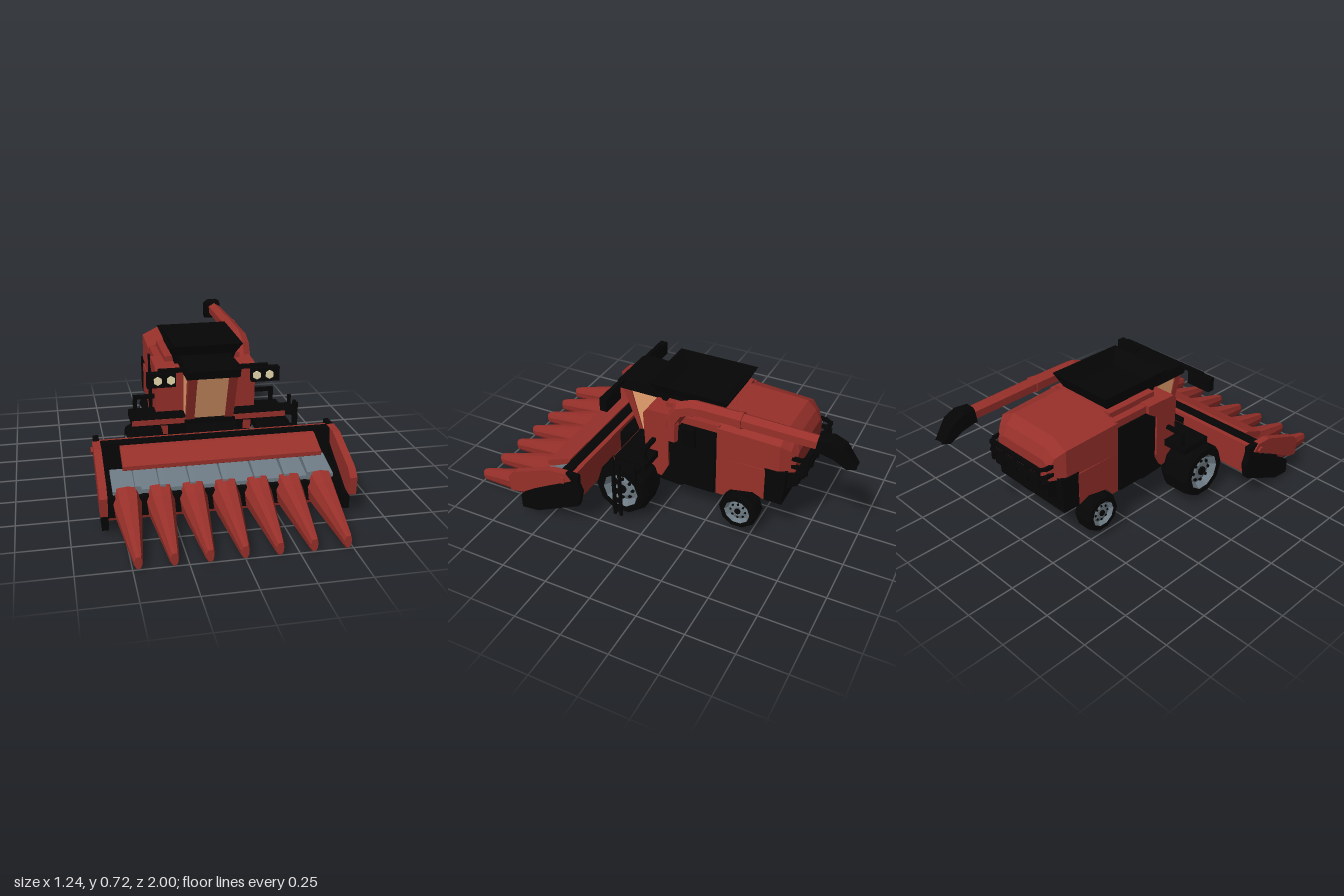
import * as THREE from 'three';

const mat = (color) => new THREE.MeshStandardMaterial({ color, flatShading: true, side: THREE.DoubleSide });

export function createModel() {
  const root = new THREE.Group();
  const red = mat(0x98302a), black = mat(0x050505), grey = mat(0x6d7a83), glass = mat(0xe6a06e), lamp = mat(0xe8dcae);

  const add = (name, geo, m, parent = root) => {
    const mesh = new THREE.Mesh(geo, m);
    mesh.name = name;
    parent.add(mesh);
    return mesh;
  };
  // box given by two opposite corners
  const box = (name, m, [x0, y0, z0], [x1, y1, z1]) => {
    const g = new THREE.BoxGeometry(Math.abs(x1 - x0), y1 - y0, z1 - z0);
    g.translate((x0 + x1) / 2, (y0 + y1) / 2, (z0 + z1) / 2);
    return add(name, g, m);
  };
  // side profile of [z, y] points, extruded across x
  const prism = (name, m, xa, xb, pts) => {
    const shape = new THREE.Shape(pts.map(([z, y]) => new THREE.Vector2(z, y)));
    const g = new THREE.ExtrudeGeometry(shape, { depth: Math.abs(xb - xa), bevelEnabled: false });
    g.rotateY(-Math.PI / 2).translate(Math.max(xa, xb), 0, 0);
    return add(name, g, m);
  };
  // skin over equal-length convex rings, capped at both ends
  const loft = (name, m, rings) => {
    const n = rings[0].length, idx = [], last = (rings.length - 1) * n;
    for (let i = 0; i < rings.length - 1; i++)
      for (let j = 0; j < n; j++) {
        const a = i * n + j, b = i * n + (j + 1) % n;
        idx.push(a, b, b + n, a, b + n, a + n);
      }
    for (let j = 1; j < n - 1; j++) idx.push(0, j + 1, j, last, last + j, last + j + 1);
    const g = new THREE.BufferGeometry();
    g.setAttribute('position', new THREE.Float32BufferAttribute(rings.flat(2), 3));
    g.setIndex(idx);
    const flat = g.toNonIndexed();
    flat.computeVertexNormals();
    return add(name, flat, m);
  };
  // straight bar between two points
  const bar = (name, m, a, b, r = 0.008, sides = 6) => {
    const A = new THREE.Vector3(...a), B = new THREE.Vector3(...b), d = B.clone().sub(A);
    const mesh = add(name, new THREE.CylinderGeometry(r, r, d.length(), sides), m);
    mesh.position.copy(A).add(B).multiplyScalar(0.5);
    mesh.quaternion.setFromUnitVectors(new THREE.Vector3(0, 1, 0), d.normalize());
    return mesh;
  };
  const wheel = (name, s, x, y, z, r, w) => {
    const g = new THREE.Group();
    g.name = name;
    const lathe = (pts) => new THREE.LatheGeometry(pts.map(([a, b]) => new THREE.Vector2(a * r, b * w)), 10);
    add('tire', lathe([[0.66, -0.5], [0.9, -0.5], [1, -0.33], [1, 0.33], [0.9, 0.5], [0.66, 0.5]]), black, g);
    add('rim', lathe([[0, -0.25], [0.5, -0.25], [0.68, -0.5], [0.68, 0.5], [0.52, 0.3], [0.3, 0.38], [0, 0.38]]), grey, g);
    add('hub', new THREE.CylinderGeometry(r * 0.16, r * 0.16, w * 0.9, 8), black, g);
    for (let i = 0; i < 8; i++) {
      const a = i * Math.PI / 4;
      add('wheelBolt', new THREE.CylinderGeometry(r * 0.06, r * 0.06, w * 0.8, 5), black, g)
        .position.set(Math.cos(a) * r * 0.38, 0, Math.sin(a) * r * 0.38);
    }
    g.rotation.z = -s * Math.PI / 2;
    g.position.set(s * x, y, z);
    root.add(g);
  };

  // header: tray, rear wall, hood plate and picking deck
  prism('headerRearWall', red, -0.6, 0.6, [[0.32, 0.335], [0.345, 0.335], [0.345, 0.18], [0.52, 0.085], [0.6, 0.05], [0.595, 0.035], [0.51, 0.065], [0.32, 0.16]]);
  prism('headerTray', black, -0.575, 0.575, [[0.346, 0.34], [0.4, 0.34], [0.42, 0.2], [0.6, 0.15], [0.6, 0.05], [0.52, 0.085], [0.346, 0.18]]);
  prism('headerHood', red, -0.485, 0.485, [[0.41, 0.335], [0.435, 0.332], [0.55, 0.285], [0.55, 0.265], [0.53, 0.255], [0.41, 0.31]]);
  prism('pickingDeck', grey, -0.54, 0.54, [[0.41, 0.217], [0.58, 0.175], [0.58, 0.155], [0.41, 0.195]]);
  for (const x of [-0.42, -0.303, -0.157, 0, 0.157, 0.303, 0.42]) {
    prism('deckRib', grey, x - 0.014, x + 0.014, [[0.42, 0.24], [0.46, 0.24], [0.585, 0.195], [0.585, 0.14], [0.42, 0.19]]);
    bar('rearWallBolt', grey, [x, 0.13, 0.4], [x, 0.107, 0.388], 0.012);
  }
  // dark stalk slots underneath, between the snouts
  for (let i = -3; i < 3; i++) {
    const x = (i + 0.5) * 0.158;
    prism('stalkSlot', black, x - 0.05, x + 0.05, [[0.51, 0.085], [0.59, 0.05], [0.585, 0.034], [0.505, 0.062]]);
  }
  for (const s of [-1, 1]) {
    prism('headerSidePlate', black, s * 0.57, s * 0.602, [[0.66, 0.1], [0.31, 0.32], [0.28, 0.24], [0.3, 0.155], [0.56, 0.03], [0.66, 0.02]]);
    prism('headerEndShield', red, s * 0.575, s * 0.612,
      [[0.72, 0.21], [0.68, 0.25], [0.45, 0.34], [0.36, 0.345], [0.33, 0.31], [0.48, 0.23], [0.66, 0.13], [0.715, 0.12]]);
    bar('shieldPin', red, [s * 0.6, 0.305, 0.375], [s * 0.622, 0.305, 0.375], 0.018);
    box('shieldCap', black, [s * 0.578, 0.3, 0.29], [s * 0.605, 0.348, 0.36]);
  }
  // crop divider snouts, wedge shaped with a straight taper
  const snoutRing = (x, z, w, lo, hi) => [[1, 0.64], [0.66, 0.97], [0, 1], [-0.66, 0.97], [-1, 0.64], [-0.88, 0.25], [-0.45, 0], [0.45, 0], [0.88, 0.25]]
    .map(([u, v]) => [x + u * w, lo + v * (hi - lo), z]);
  for (let i = -3; i <= 3; i++) {
    const x = i * 0.158;
    loft('snout', red, [snoutRing(x, 0.57, 0.07, 0.018, 0.192), snoutRing(x, 0.64, 0.063, 0.012, 0.165),
      snoutRing(x, 0.985, 0.022, 0.002, 0.07), snoutRing(x, 1, 0.017, 0.006, 0.064)]);
  }

  // feeder house and chassis
  prism('feederHouse', black, -0.13, 0.13, [[0.34, 0.31], [0.1, 0.37], [-0.05, 0.37], [-0.05, 0.2], [0.1, 0.17], [0.34, 0.12]]);
  prism('chassis', black, -0.2, 0.2, [[0.1, 0.36], [0.1, 0.15], [-0.08, 0.14], [-0.1, 0.155], [-0.25, 0.155], [-0.26, 0.2], [-0.4, 0.21], [-0.56, 0.25], [-0.56, 0.4]]);
  bar('frontAxle', black, [-0.32, 0.18, 0.155], [0.32, 0.18, 0.155], 0.04, 8);
  bar('rearAxle', grey, [-0.22, 0.145, -0.435], [0.22, 0.145, -0.435], 0.028, 8);
  box('rearAxleBracket', black, [-0.05, 0.16, -0.47], [0.05, 0.26, -0.4]);

  // body
  box('engineBay', black, [-0.238, 0.2, -0.31], [0.238, 0.58, 0.02]);
  box('bodyTop', red, [-0.24, 0.57, -0.31], [0.24, 0.61, 0.02]);
  box('tankBase', red, [-0.2, 0.6, -0.31], [0.2, 0.64, 0.0]);
  const hoodRing = (z, w, lo, side, top, tw) => [[w, lo], [w, side], [tw, top], [-tw, top], [-w, side], [-w, lo]].map(([x, y]) => [x, y, z]);
  loft('rearHood', red, [hoodRing(-0.695, 0.19, 0.43, 0.5, 0.53, 0.15), hoodRing(-0.67, 0.205, 0.43, 0.55, 0.585, 0.145),
    hoodRing(-0.625, 0.235, 0.43, 0.585, 0.63, 0.145), hoodRing(-0.3, 0.245, 0.43, 0.6, 0.64, 0.15)]);
  prism('lowerBody', red, -0.244, 0.244, [[-0.3, 0.43], [-0.3, 0.2], [-0.34, 0.2], [-0.38, 0.25], [-0.5, 0.275], [-0.56, 0.25], [-0.56, 0.43]]);
  prism('strawChopper', black, -0.243, 0.243, [[-0.555, 0.44], [-0.555, 0.25], [-0.655, 0.25], [-0.66, 0.33], [-0.665, 0.44]]);
  prism('chopperHood', black, -0.2, 0.2, [[-0.65, 0.43], [-0.65, 0.3], [-0.665, 0.33], [-0.715, 0.36], [-0.715, 0.43]]);
  for (const s of [-1, 1]) {
    prism('frontShoulder', red, s * 0.1, s * 0.262,
      [[0.1, 0.585], [0.085, 0.24], [0.0, 0.22], [-0.04, 0.3], [-0.04, 0.53], [-0.1, 0.57], [-0.1, 0.615], [0.08, 0.61]]);
    prism('sideCover', black, s * 0.23, s * 0.25, [[-0.04, 0.53], [-0.12, 0.57], [-0.29, 0.57], [-0.29, 0.2], [-0.04, 0.2]]);
    wheel('frontWheel', s, 0.335, 0.18, 0.155, 0.152, 0.18);
    wheel('rearWheel', s, 0.225, 0.145, -0.435, 0.105, 0.105);
  }
  // flared screen beside the auger elbow
  loft('sideScreen', black, [-0.19, -0.12].map((z) => [[0.23, 0.45, z], [0.262, 0.45, z], [0.285, 0.57, z], [0.23, 0.57, z]]));

  // rear platform with wrapped railing
  box('rearPlatform', black, [-0.195, 0.405, -0.74], [0.195, 0.43, -0.66]);
  for (const y of [0.455, 0.5]) {
    box('rearRail', black, [-0.18, y, -0.755], [0.18, y + 0.02, -0.735]);
    for (const s of [-1, 1]) {
      bar('railCorner', black, [s * 0.175, y + 0.01, -0.745], [s * 0.195, y + 0.01, -0.715], 0.011, 4);
      box('rearSideRail', black, [s * 0.187, y, -0.72], [s * 0.202, y + 0.02, -0.63]);
    }
  }
  for (let i = -2; i <= 2; i++) box('rearRailPost', black, [i * 0.085 - 0.008, 0.41, -0.75], [i * 0.085 + 0.008, 0.52, -0.735]);

  // grain tank, a hollow flared bin
  const tankRing = (y, w, front, back) => [[w, y, front], [w, y, back], [-w, y, back], [-w, y, front]];
  loft('grainTank', black, [tankRing(0.6, 0.15, 0.04, -0.27), tankRing(0.66, 0.165, 0.06, -0.3), tankRing(0.72, 0.192, 0.11, -0.33),
    tankRing(0.72, 0.18, 0.098, -0.318), tankRing(0.655, 0.13, 0.03, -0.26)]);

  // cab
  prism('cabGlass', glass, -0.118, 0.118, [[0.285, 0.605], [0.195, 0.365], [0.07, 0.365], [0.07, 0.605]]);
  for (const s of [-1, 1]) {
    prism('cabFrontPillar', red, s * 0.08, s * 0.124, [[0.295, 0.61], [0.2, 0.36], [0.18, 0.36], [0.245, 0.61]]);
    box('cabRearPillar', red, [s * 0.1, 0.36, 0.05], [s * 0.126, 0.61, 0.095]);
  }
  prism('cabSill', black, -0.13, 0.13, [[0.215, 0.36], [0.215, 0.34], [0.05, 0.32], [0.05, 0.36]]);
  prism('cabRoof', black, -0.135, 0.135, [[0.315, 0.65], [0.3, 0.605], [0.0, 0.605], [0.0, 0.655], [0.28, 0.665]]);

  for (const s of [-1, 1]) {
    // work lights on side arms
    box('lightArm', black, [s * 0.12, 0.646, 0.272], [s * 0.275, 0.665, 0.295]);
    box('lightHousing', black, [s * 0.19, 0.578, 0.268], [s * 0.332, 0.65, 0.308]);
    for (const x of [0.215, 0.28]) bar('workLight', lamp, [s * x, 0.614, 0.3], [s * x, 0.614, 0.316], 0.022, 6);
    // side decks and handrails
    box('sideDeck', black, [s * 0.12, 0.335, 0.02], [s * 0.4, 0.371, 0.197]);
    box('deckEdge', red, [s * 0.12, 0.342, 0.19], [s * 0.4, 0.37, 0.2]);
    box('handrail', black, [s * 0.155, 0.43, 0.03], [s * 0.376, 0.45, 0.05]);
    bar('handrailEnd', black, [s * 0.115, 0.4, 0.05], [s * 0.165, 0.44, 0.04], 0.012, 4);
    for (const x of [0.24, 0.365]) box('handrailPost', black, [s * x - 0.01, 0.35, 0.03], [s * x + 0.01, 0.45, 0.05]);
  }

  // access ladder on the left side
  for (const z of [0.13, 0.165]) box('ladderRail', black, [0.462, 0.06, z - 0.007], [0.478, 0.4, z + 0.007]);
  for (let i = 0; i < 5; i++) box('ladderStep', black, [0.45, 0.08 + i * 0.06, 0.13], [0.475, 0.092 + i * 0.06, 0.165]);
  box('ladderLanding', black, [0.39, 0.335, 0.04], [0.475, 0.355, 0.17]);
  box('landingPost', black, [0.46, 0.3, 0.035], [0.476, 0.4, 0.05]);

  // unloading auger: hexagonal pipe swept along [y, z, radius]
  const path = [[0.46, -0.055, 0.044], [0.58, -0.06, 0.046], [0.645, -0.1, 0.046], [0.672, -0.17, 0.046], [0.676, -0.22, 0.042],
    [0.676, -0.41, 0.042], [0.676, -0.411, 0.046], [0.676, -0.43, 0.046], [0.676, -0.431, 0.04], [0.67, -0.82, 0.038]];
  loft('augerPipe', red, path.map(([y, z, r], i) => {
    const a = path[Math.max(i - 1, 0)], b = path[Math.min(i + 1, path.length - 1)];
    const len = Math.hypot(b[0] - a[0], b[1] - a[1]), ty = (b[0] - a[0]) / len, tz = (b[1] - a[1]) / len;
    return Array.from({ length: 6 }, (_, j) => {
      const p = (j + 0.5) * Math.PI / 3, c = r * Math.cos(p), e = r * Math.sin(p);
      return [0.232 + c, y + e * tz, z - e * ty];
    });
  }));
  const spoutRing = (lo, zLo, hi, zHi, w) => [[-w, lo, zLo], [w, lo, zLo], [w, hi - 0.01, zHi], [w * 0.6, hi, zHi], [-w * 0.6, hi, zHi], [-w, hi - 0.01, zHi]]
    .map(([x, y, z]) => [0.23 + x, y, z]);
  loft('augerSpout', black, [spoutRing(0.58, -0.955, 0.605, -1, 0.03), spoutRing(0.625, -0.89, 0.695, -0.93, 0.042),
    spoutRing(0.64, -0.82, 0.72, -0.87, 0.042), spoutRing(0.635, -0.8, 0.715, -0.81, 0.038)]);
  return root;
}
